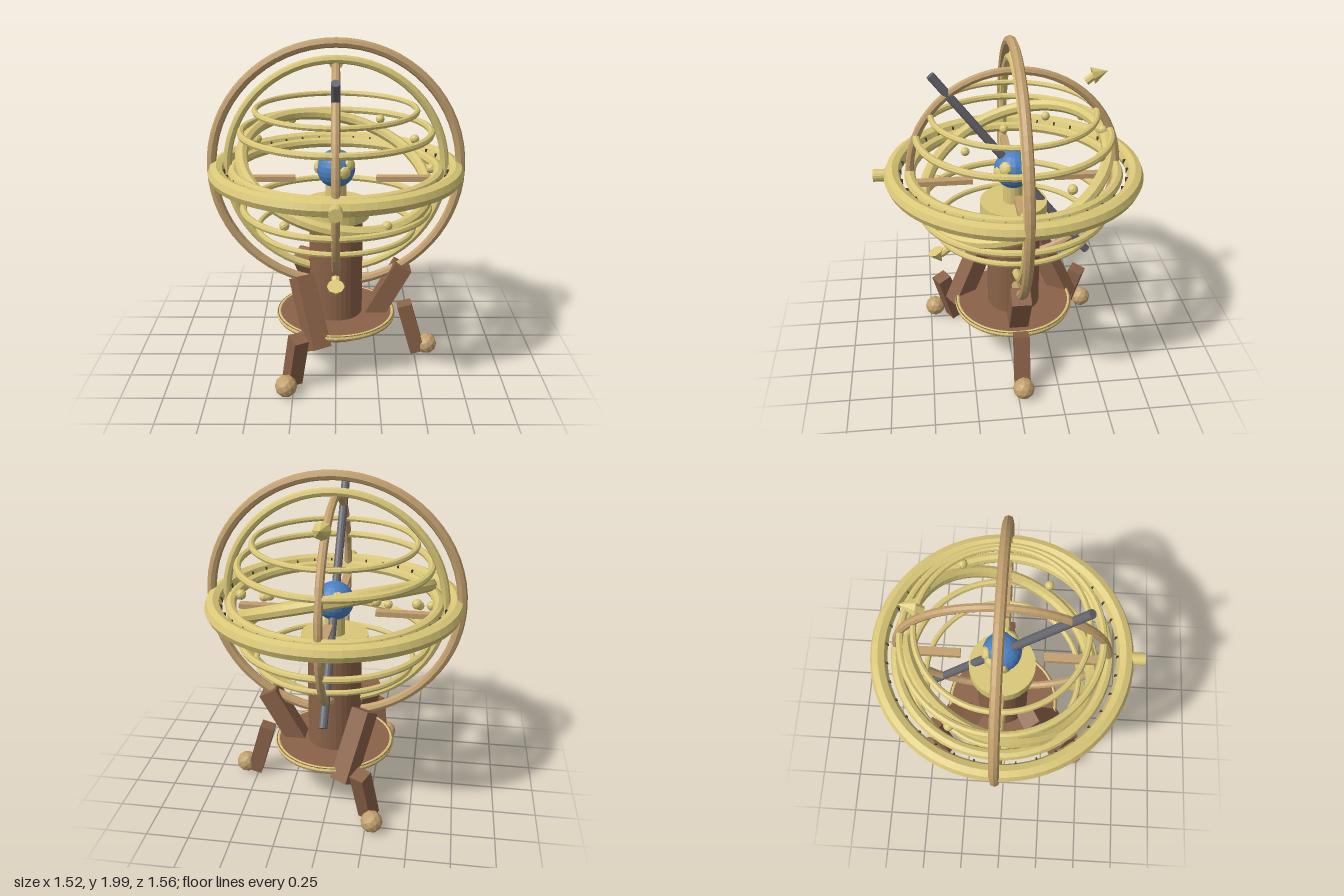
import * as THREE from 'three';

const CY = 1.237, CZ = -0.03; // centre of the sphere of rings
const mat = (color) => new THREE.MeshStandardMaterial({ color, flatShading: true });

export function createModel() {
  const model = new THREE.Group();
  const brass = mat(0xd9c777), bronze = mat(0xc2a06e), wood = mat(0x8a6248);
  const steel = mat(0x66666e), blue = mat(0x4a80c4), dark = mat(0x4a4030);

  // everything is placed relative to the vertical axis of the stand
  const add = (name, geo, material, x = 0, y = 0, z = 0, rx = 0, ry = 0, rz = 0) => {
    const m = new THREE.Mesh(geo, material);
    m.name = name;
    m.position.set(x, y, CZ + z);
    m.rotation.set(rx, ry, rz);
    model.add(m);
    return m;
  };
  const ring = (name, r, tube, material, y = CY, rx = Math.PI / 2, ry = 0) =>
    add(name, new THREE.TorusGeometry(r, tube, 8, 64), material, 0, y, 0, rx, ry);
  const cyl = (r, h, n = 32) => new THREE.CylinderGeometry(r, r, h, n);
  const up = new THREE.Vector3(0, 1, 0);
  const aim = (mesh, x, y, z) =>
    mesh.quaternion.setFromUnitVectors(up, new THREE.Vector3(x, y, z).normalize());

  // pedestal
  add('basePlug', cyl(0.225, 0.1), wood, 0, 0.25);
  add('baseDisc', cyl(0.365, 0.03, 48), wood, 0, 0.3);
  ring('baseTrim', 0.352, 0.018, brass, 0.3);
  add('column', cyl(0.162, 0.66), wood, 0, 0.61);
  add('collar', cyl(0.2, 0.09), brass, 0, 0.985);
  add('neck', cyl(0.062, 0.14, 16), brass, 0, 1.08);

  // three legs, each with a strut, a lower leg and a ball foot
  for (let i = 0; i < 3; i++) {
    const a = (i * Math.PI * 2) / 3, c = Math.cos(a), s = Math.sin(a);
    add('legStrut', new THREE.BoxGeometry(0.115, 0.44, 0.115), wood, c * 0.305, 0.425, s * 0.305, 0, a, -0.5);
    add('lowerLeg', new THREE.BoxGeometry(0.09, 0.34, 0.09), wood, c * 0.473, 0.19, s * 0.473, 0, a, 0.28);
    add('foot', new THREE.IcosahedronGeometry(0.065, 1), bronze, c * 0.577, 0.07, s * 0.577);
  }

  // upright and horizontal rings
  ring('meridianRing', 0.733, 0.029, bronze, CY, 0);
  ring('innerMeridianRing', 0.64, 0.025, brass, CY, 0);
  ring('crossRing', 0.6, 0.024, bronze, CY, 0, Math.PI / 2);
  ring('horizonRing', 0.7, 0.049, brass);
  ring('equatorRing', 0.6, 0.032, brass);
  for (const s of [-1, 1]) {
    ring('tropicRing', 0.552, 0.021, brass, CY + s * 0.229);
    ring('polarRing', 0.466, 0.017, brass, CY + s * 0.355);
  }

  // tilted ecliptic band, high at the back and right
  const ecliptic = ring('eclipticRing', 0.56, 0.037, brass);
  const tilt = 0.41, lean = 0.57;
  ecliptic.quaternion.setFromUnitVectors(
    new THREE.Vector3(0, 0, 1),
    new THREE.Vector3(Math.sin(tilt) * Math.sin(lean), Math.cos(tilt), Math.sin(tilt) * Math.cos(lean))
  );

  // beads on a tilted circle
  for (let i = 0; i < 12; i++) {
    const a = (i * Math.PI) / 6, d = 0.56 * Math.sin(a);
    add('bead', new THREE.IcosahedronGeometry(0.029, 1), brass,
      0.56 * Math.cos(a), CY - d * Math.sin(tilt), d * Math.cos(tilt));
  }

  // degree marks round the inside of the horizon
  for (let i = 0; i < 36; i++) {
    const a = (i * Math.PI) / 18;
    add('degreeMark', new THREE.BoxGeometry(0.014, 0.03, 0.008), dark,
      0.654 * Math.cos(a), CY + 0.012, 0.654 * Math.sin(a), 0, -a, 0);
  }

  // four flat arms below the horizon
  for (let i = 0; i < 4; i++) {
    const a = (i * Math.PI) / 2;
    add('supportArm', new THREE.BoxGeometry(0.33, 0.03, 0.05), bronze,
      0.405 * Math.cos(a), 1.175, 0.405 * Math.sin(a), 0, -a, 0);
  }

  // globe with raised land patches
  add('globe', new THREE.SphereGeometry(0.114, 18, 12), blue, 0, CY);
  for (const [azimuth, height] of [[215, 0.03], [250, 0.05], [180, 0.01], [62, 0.0], [35, 0.045]]) {
    const a = (azimuth * Math.PI) / 180, r = Math.sqrt(0.0121 - height * height);
    const land = add('landPatch', new THREE.SphereGeometry(0.04, 8, 6), brass,
      r * Math.cos(a), CY + height, r * Math.sin(a));
    land.scale.set(1, 0.5, 1);
    aim(land, Math.cos(a) * r, height, Math.sin(a) * r);
  }

  // polar axis rod
  add('axisRod', cyl(0.025, 1.49, 12), steel, 0, CY, 0, 0.658);

  // pointers with short stems at the other diagonal
  const pointers = [
    { stem: [1.775, -0.425], tip: [1.803, -0.48], dir: [0.28, -0.96] },
    { stem: [0.695, 0.42], tip: [0.658, 0.46], dir: [-0.9, -0.42] },
  ];
  for (const { stem, tip, dir } of pointers) {
    aim(add('pointerStem', cyl(0.024, 0.06, 8), brass, 0, ...stem), 0, 0.62, -0.78);
    aim(add('pointerTip', new THREE.ConeGeometry(0.05, 0.085, 8), brass, 0, ...tip), 0, ...dir);
  }

  // front knob on the horizon
  add('frontKnob', cyl(0.036, 0.12, 16), brass, 0, CY, 0.75, Math.PI / 2);

  return model;
}
